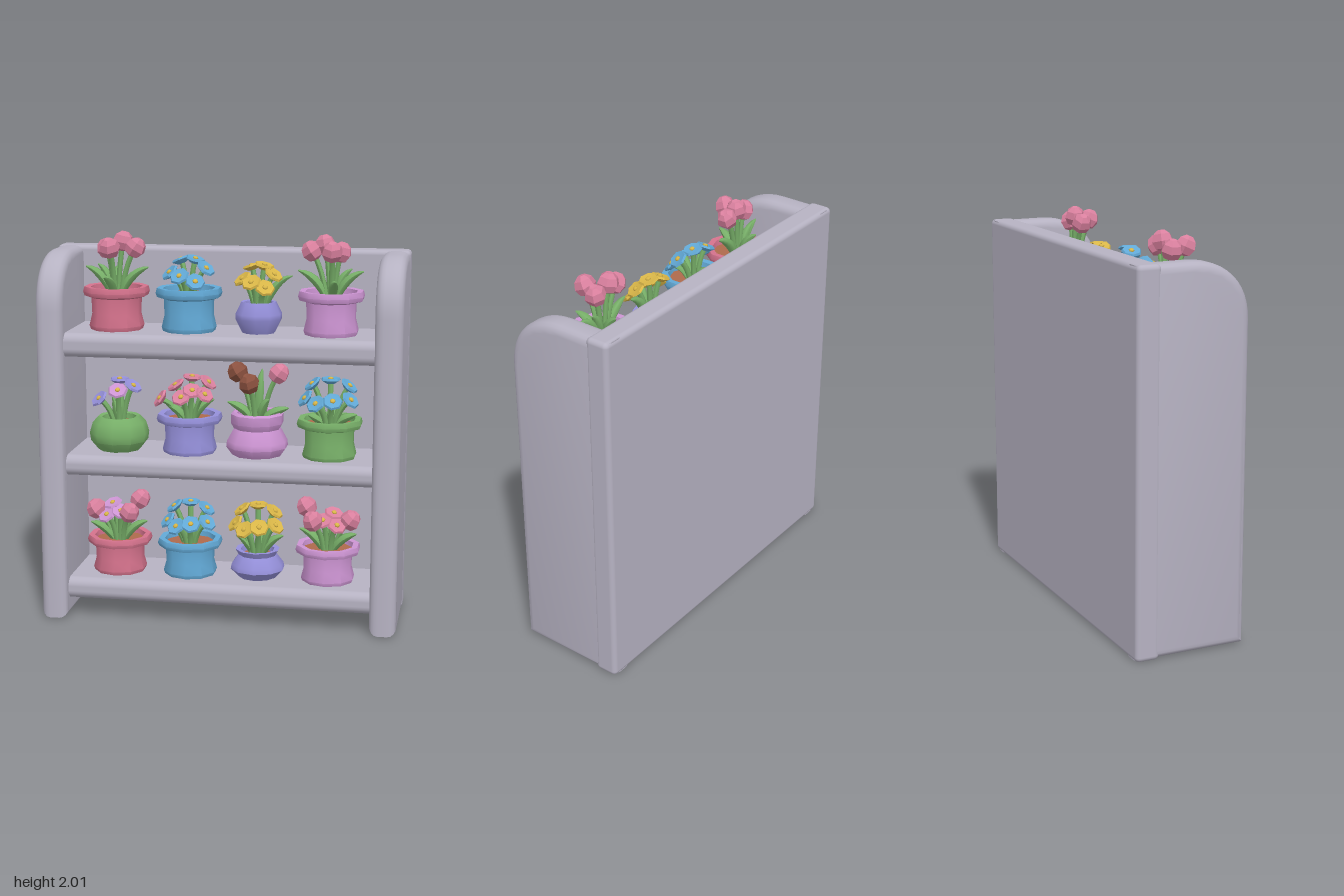
import * as THREE from 'three';
import { toCreasedNormals } from 'three/addons/utils/BufferGeometryUtils.js';
import { RoundedBoxGeometry } from 'three/addons/geometries/RoundedBoxGeometry.js';

const mat = (name, color) => {
  const m = new THREE.MeshStandardMaterial({ color });
  m.name = name;
  return m;
};
const M = {
  grey: mat('shelf grey', 0xb6b2c2),
  potPink: mat('pot pink', 0xd4728c),
  pink: mat('flower pink', 0xd9809e),
  blue: mat('blue', 0x62a9d6),
  lavender: mat('lavender', 0x9590da),
  orchid: mat('orchid', 0xcc94d2),
  green: mat('leaf green', 0x78b069),
  yellow: mat('yellow', 0xdab748),
  soil: mat('soil', 0xae6a4c),
  brown: mat('brown', 0x8c5240),
};
const V = (x, y, z) => new THREE.Vector3(x, y, z);

function add(parent, name, geometry, material, x = 0, y = 0, z = 0) {
  const mesh = new THREE.Mesh(geometry, material);
  mesh.name = name;
  mesh.position.set(x, y, z);
  parent.add(mesh);
  return mesh;
}

// Side panel with a swept front top corner and rounded edges
function sideGeometry() {
  const b = 0.045;
  const s = new THREE.Shape();
  s.moveTo(-0.29 + b, 0.003 + b);
  s.lineTo(0.295 - b, 0.003 + b);
  s.lineTo(0.295 - b, 1.62);
  s.bezierCurveTo(0.25, 1.77, 0.15, 1.865, -0.01, 1.91 - b);
  s.lineTo(-0.29 + b, 1.908 - b);
  const g = new THREE.ExtrudeGeometry(s, {
    depth: 0.14 - 2 * b, bevelEnabled: true, bevelSize: b, bevelThickness: b,
    bevelSegments: 4, curveSegments: 12,
  });
  g.rotateY(-Math.PI / 2).translate(0.025, 0, 0);
  return toCreasedNormals(g, 0.8);
}

// Pot profiles as [radius, height]; the inside follows on from the rim
const POTS = {
  rimmed: [[0.135, 0], [0.142, 0.02], [0.127, 0.08], [0.13, 0.16], [0.165, 0.17], [0.172, 0.19], [0.165, 0.215], [0.135, 0.213]],
  bulb: [[0.085, 0], [0.12, 0.07], [0.12, 0.095], [0.09, 0.155], [0.075, 0.152]],
  squat: [[0.1, 0], [0.143, 0.045], [0.138, 0.07], [0.1, 0.12], [0.117, 0.15], [0.09, 0.148]],
  bowl: [[0.11, 0], [0.15, 0.05], [0.156, 0.09], [0.14, 0.145], [0.11, 0.178], [0.09, 0.173]],
  jar: [[0.13, 0], [0.162, 0.045], [0.158, 0.075], [0.122, 0.14], [0.138, 0.17], [0.138, 0.215], [0.125, 0.225], [0.105, 0.22]],
};

function addPot(plant, type, material, scaleY) {
  const profile = POTS[type];
  const [innerR, top] = profile[profile.length - 1];
  const soilY = top - 0.035;
  const pts = [[0, 0], ...profile, [innerR - 0.005, soilY - 0.01]];
  const g = new THREE.LatheGeometry(pts.map(([r, y]) => new THREE.Vector2(r, y * scaleY)), 10);
  add(plant, 'pot', toCreasedNormals(g, 0.75), material);
  add(plant, 'soil', new THREE.CylinderGeometry(innerR, innerR, 0.01, 10), M.soil, 0, soilY * scaleY);
  return soilY * scaleY;
}

// Curved stalk whose thickness follows a rule along its length
function stalk(from, mid, to, radius, thickness) {
  const path = new THREE.QuadraticBezierCurve3(from, mid, to);
  const n = 7, sides = 6;
  const g = new THREE.TubeGeometry(path, n, radius, sides);
  const p = g.attributes.position, v = V(0, 0, 0);
  for (let i = 0; i <= n; i++) {
    const c = path.getPointAt(i / n), k = thickness(i / n);
    for (let j = 0; j <= sides; j++) {
      const id = i * (sides + 1) + j;
      v.fromBufferAttribute(p, id).sub(c).multiplyScalar(k).add(c);
      p.setXYZ(id, v.x, v.y, v.z);
    }
  }
  g.computeVertexNormals();
  return g;
}

const tulipGeometry = toCreasedNormals(new THREE.LatheGeometry(
  [[0, -0.05], [0.04, -0.035], [0.056, 0], [0.045, 0.035], [0.02, 0.055], [0, 0.05]]
    .map(([r, y]) => new THREE.Vector2(r, y)), 6), 0.5);
const daisyGeometry = toCreasedNormals(new THREE.LatheGeometry(
  [[0, -0.018], [0.025, -0.014], [0.052, 0.004], [0.046, 0.014], [0, 0.007]]
    .map(([r, y]) => new THREE.Vector2(r, y)), 7), 0.5);
const centreGeometry = new THREE.SphereGeometry(0.015, 6, 4).scale(1, 0.6, 1);

function addBloom(plant, kind, material, [x, y, z], soilY) {
  const tip = V(x, y, z);
  const lean = kind === 'tulip' ? V(x * 2, 0.3, z * 1.5) : V(x * 1.2, 0.13, z * 1.2 + 0.025);
  const dir = lean.normalize();
  const root = V(x * 0.25, soilY - 0.01, z * 0.25);
  const mid = V(x * 0.45, (soilY + y) / 2 + 0.02, z * 0.45);
  add(plant, 'stem', stalk(root, mid, tip.clone().addScaledVector(dir, -0.01), 0.014, () => 1), M.green);
  const flower = new THREE.Group();
  flower.name = kind;
  flower.position.copy(tip);
  flower.quaternion.setFromUnitVectors(V(0, 1, 0), dir);
  add(flower, 'petals', kind === 'tulip' ? tulipGeometry : daisyGeometry, material);
  if (kind === 'daisy') add(flower, 'flowerCentre', centreGeometry, M.yellow, 0, 0.011, 0);
  plant.add(flower);
}

function addLeaf(plant, [x, y, z], soilY) {
  const g = stalk(V(x * 0.15, soilY - 0.01, z * 0.15), V(x * 0.4, y * 0.92, z * 0.4), V(x, y, z),
    0.024, t => 0.55 + 0.45 * Math.sin(Math.PI * t) - 0.4 * t ** 5);
  add(plant, 'leaf', g, M.green);
}

// Flower arrangements: offsets from the pot's base centre
const tallTulips = [[-0.045, 0.41, 0], [-0.01, 0.42, 0.09], [0.035, 0.445, -0.01], [0.1, 0.415, 0]];
const wideTulips = [[-0.115, 0.33, 0.03], [0.07, 0.33, 0.08], [0.11, 0.385, 0]];
const smallDaisies = [[-0.03, 0.36, 0.02], [0.02, 0.33, 0.06], [-0.05, 0.31, 0.07]];
const topDaisies = [[-0.09, 0.295, 0.03], [-0.045, 0.355, -0.03], [0.03, 0.36, -0.01], [0.09, 0.32, 0.03], [-0.03, 0.285, 0.09], [0.05, 0.26, 0.1]];
const ringDaisies = [[-0.11, 0.285, 0.03], [-0.08, 0.355, 0], [0, 0.375, -0.02], [0.085, 0.35, 0], [0.095, 0.285, 0.04], [0.02, 0.285, 0.09], [-0.055, 0.27, 0.09]];
const pinkDaisies = [[-0.145, 0.28, 0.03], [-0.07, 0.345, 0], [0.01, 0.385, -0.02], [0.095, 0.365, 0], [0.085, 0.31, 0.05], [-0.025, 0.3, 0.09], [0.025, 0.33, 0.06]];
const flip = list => list.map(([x, y, z]) => [-x, y, z]);
const tallLeaves = [[-0.16, 0.32, 0], [0.17, 0.32, 0], [-0.02, 0.31, -0.1], [-0.03, 0.28, 0.14], [-0.1, 0.33, -0.02]];
const wideLeaves = [[-0.15, 0.27, 0], [0.15, 0.26, 0.03], [0, 0.26, -0.09]];
const lowLeaves = [[0.14, 0.23, 0.02], [-0.11, 0.22, 0.02], [0.01, 0.24, -0.08]];

// Each plant: x, shelf height, pot type, pot colour, pot height scale, bloom sets, leaves
const TOP = 1.507, MID = 0.87, LOW = 0.212;
const PLANTS = [
  [-0.56, TOP, 'rimmed', M.potPink, 1.03, [['tulip', M.pink, tallTulips]], tallLeaves],
  [-0.18, TOP, 'rimmed', M.blue, 1.03, [['daisy', M.blue, topDaisies]], [[0, 0.27, -0.09]]],
  [0.18, TOP, 'bulb', M.lavender, 1.02, [['daisy', M.yellow, topDaisies.map(([x, y, z]) => [x * 0.85, y - 0.025, z * 0.85])]], [[0.17, 0.29, -0.01], [0, 0.25, -0.08]]],
  [0.55, TOP, 'rimmed', M.orchid, 1.03, [['tulip', M.pink, flip(tallTulips)]], flip(tallLeaves)],
  [-0.555, MID, 'bowl', M.green, 1, [['daisy', M.lavender, [[-0.09, 0.27, 0.05], [0, 0.36, -0.02], [0.075, 0.335, 0.01]]], ['daisy', M.orchid, [[0.01, 0.32, 0.07]]]], [[0.02, 0.3, 0.01], [-0.03, 0.28, 0.02], [0.03, 0.25, -0.05]]],
  [-0.18, MID, 'rimmed', M.lavender, 0.95, [['daisy', M.pink, pinkDaisies]], [[0.13, 0.28, 0], [-0.12, 0.25, 0.02], [0, 0.25, -0.08]]],
  [0.175, MID, 'jar', M.orchid, 1, [['tulip', M.brown, [[-0.1, 0.425, 0], [-0.03, 0.38, 0.08]]], ['tulip', M.pink, [[0.11, 0.425, 0.01]]]], [[-0.155, 0.27, 0], [0.165, 0.25, 0.01], [0.02, 0.44, -0.04], [0.07, 0.3, 0.05], [0.05, 0.28, -0.06]]],
  [0.55, MID, 'rimmed', M.green, 0.95, [['daisy', M.blue, ringDaisies.map(([x, y, z]) => [x * 1.1, y + 0.02, z])]], lowLeaves],
  [-0.56, LOW, 'rimmed', M.potPink, 0.9, [['tulip', M.pink, wideTulips], ['daisy', M.orchid, smallDaisies]], flip(wideLeaves)],
  [-0.18, LOW, 'rimmed', M.blue, 0.9, [['daisy', M.blue, ringDaisies]], [[0.03, 0.28, 0.02], [0, 0.24, -0.08]]],
  [0.18, LOW, 'squat', M.lavender, 1, [['daisy', M.yellow, ringDaisies]], lowLeaves],
  [0.55, LOW, 'rimmed', M.orchid, 0.9, [['tulip', M.pink, flip(wideTulips)], ['daisy', M.pink, flip(smallDaisies)]], wideLeaves],
];

export function createModel() {
  const model = new THREE.Group();
  model.name = 'flowerShelf';

  // Shelf unit
  const unit = new THREE.Group();
  unit.name = 'shelfUnit';
  model.add(unit);
  add(unit, 'backPanel', new RoundedBoxGeometry(1.86, 1.912, 0.125, 3, 0.025), M.grey, 0, 0.956, -0.2325);
  const side = sideGeometry();
  add(unit, 'leftSide', side, M.grey, 0.858);
  add(unit, 'rightSide', side.clone().rotateY(Math.PI).scale(1, 1, 1), M.grey, -0.858).geometry = mirrorX(side);
  for (const [y, h] of [[0.155, 0.114], [0.817, 0.108], [1.445, 0.124]])
    add(unit, 'shelf', new RoundedBoxGeometry(1.68, h, 0.475, 4, 0.045), M.grey, 0, y, 0.02);

  // Potted flowers
  for (const [x, y, type, potMaterial, scaleY, bloomSets, leaves] of PLANTS) {
    const plant = new THREE.Group();
    plant.name = 'pottedFlower';
    plant.position.set(x, y, 0.04);
    model.add(plant);
    const soilY = addPot(plant, type, potMaterial, scaleY);
    for (const [kind, material, spots] of bloomSets)
      for (const spot of spots) addBloom(plant, kind, material, spot, soilY);
    for (const leaf of leaves) addLeaf(plant, leaf, soilY);
  }
  return model;
}

// Mirrored copy of an unindexed geometry, keeping faces outward
function mirrorX(source) {
  const g = source.clone().scale(-1, 1, 1);
  const p = g.attributes.position, a = V(0, 0, 0), b = V(0, 0, 0);
  for (let i = 0; i < p.count; i += 3) {
    a.fromBufferAttribute(p, i + 1);
    b.fromBufferAttribute(p, i + 2);
    p.setXYZ(i + 1, b.x, b.y, b.z);
    p.setXYZ(i + 2, a.x, a.y, a.z);
  }
  return toCreasedNormals(g, 0.8);
}
